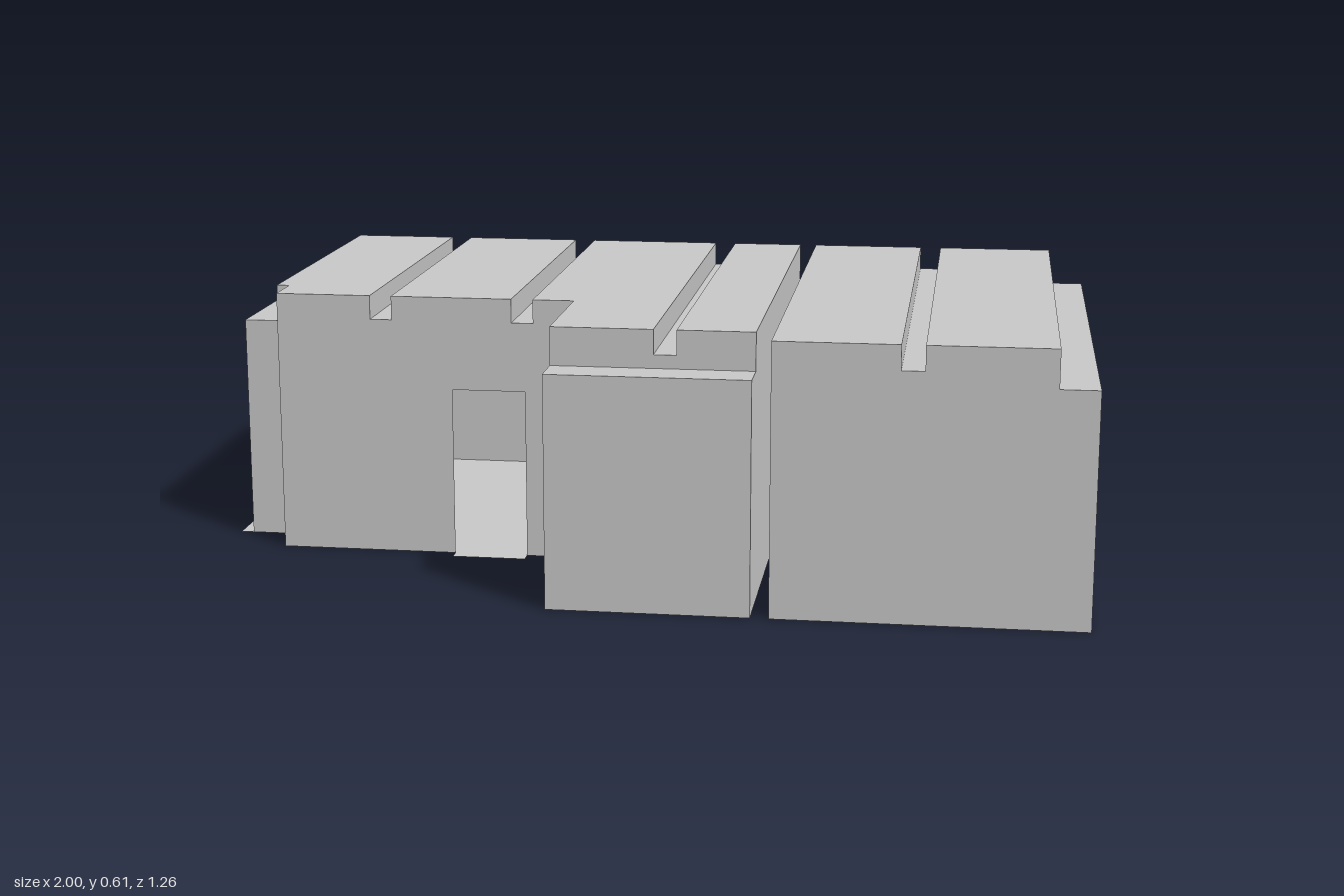
import * as THREE from 'three';

const H = 0.605, LOW = 0.52, GROOVE = 0.55, DOOR = 0.39, BACK = -0.63, FRONT = 0.63;

export function createModel() {
  const model = new THREE.Group();
  const material = new THREE.MeshStandardMaterial({ color: 0xcccccc, side: THREE.DoubleSide, flatShading: true });

  // Thin sheet from an outline, turned into the plane it belongs to
  function sheet(parent, name, points, turn) {
    const shape = new THREE.Shape(points.map(([u, v]) => new THREE.Vector2(u, v)));
    const geometry = new THREE.ShapeGeometry(shape);
    turn(geometry);
    const mesh = new THREE.Mesh(geometry, material);
    mesh.name = name;
    parent.add(mesh);
  }
  const facingZ = (z) => (g) => g.translate(0, 0, z); // outline in x, y
  const facingX = (x) => (g) => g.rotateY(-Math.PI / 2).translate(x, 0, 0); // outline in z, y
  const level = (y) => (g) => g.rotateX(Math.PI / 2).translate(0, y, 0); // outline in x, z
  const rect = (u0, u1, v0, v1) => [[u0, v0], [u1, v0], [u1, v1], [u0, v1]];

  // Bottom edge of a wall, with an optional doorway cut up into it
  const base = (u0, u1, y, door) => [
    [u0, y],
    ...(door ? [[door[0], y], [door[0], DOOR], [door[1], DOOR], [door[1], y]] : []),
    [u1, y],
  ];

  // Roof strips as [x start, x end, height]; cut to the asked range
  const clip = (strips, x0, x1) => strips
    .map(([a, b, y]) => [Math.max(a, x0), Math.min(b, x1), y])
    .filter(([a, b]) => b - a > 1e-4);

  // Wall across x whose top follows the roof
  function longWall(parent, name, strips, x0, x1, z, y = 0, door = null) {
    const top = clip(strips, x0, x1).reverse().flatMap(([a, b, h]) => [[b, h], [a, h]]);
    sheet(parent, name, [...base(x0, x1, y, door), ...top], facingZ(z));
  }

  // Wall along z with a list of top corners from front to back
  function endWall(parent, name, x, z0, z1, top, door = null) {
    sheet(parent, name, [...base(z0, z1, 0, door), ...top], facingX(x));
  }

  // Flat strips and the small risers between them
  function roof(parent, strips, x0, x1, z1) {
    const parts = clip(strips, x0, x1);
    parts.forEach(([a, b, y], i) => {
      sheet(parent, 'roofStrip', rect(a, b, BACK, z1), level(y));
      const next = parts[i + 1];
      if (next) sheet(parent, 'roofRiser', rect(BACK, z1, y, next[2]), facingX(b));
    });
  }

  // Main hall, with a stepped plan
  const main = new THREE.Group();
  main.name = 'mainHall';
  model.add(main);
  const mainStrips = [
    [-0.97, -0.89, LOW], [-0.89, -0.64, H], [-0.64, -0.59, GROOVE], [-0.59, -0.31, H],
    [-0.31, -0.26, GROOVE], [-0.26, 0.06, H], [0.06, 0.11, GROOVE], [0.11, 0.28, H],
  ];
  roof(main, mainStrips, -0.97, -0.86, 0.13);
  roof(main, mainStrips, -0.86, -0.165, 0.235);
  roof(main, mainStrips, -0.165, 0.28, 0.54);
  longWall(main, 'backWall', mainStrips, -0.97, 0.28, BACK);
  longWall(main, 'cornerWall', mainStrips, -0.97, -0.86, 0.13);
  longWall(main, 'frontWall', mainStrips, -0.86, -0.165, 0.235, 0, [-0.45, -0.28]);
  longWall(main, 'upperFrontWall', mainStrips, -0.165, 0.28, 0.54, LOW);
  sheet(main, 'lowFrontWall', rect(-0.165, 0.28, 0, LOW), facingZ(FRONT));
  sheet(main, 'frontLedge', rect(-0.165, 0.28, 0.54, FRONT), level(LOW));
  endWall(main, 'entranceWall', -0.97, BACK, 0.13, [[0.13, DOOR], [0.13, LOW], [BACK, LOW]], [-0.225, 0.129]);
  endWall(main, 'cornerReturn', -0.86, 0.13, 0.235, [[0.235, H], [0.13, H]]);
  const steppedTop = (back) => [[FRONT, LOW], [0.54, LOW], [0.54, H], [back, H]];
  endWall(main, 'frontReturn', -0.165, 0.235, FRONT, steppedTop(0.235));
  endWall(main, 'passageWall', 0.28, BACK, FRONT, steppedTop(BACK), [-0.36, 0]);
  sheet(main, 'floor', [
    [-0.97, BACK], [0.28, BACK], [0.28, FRONT], [-0.165, FRONT],
    [-0.165, 0.235], [-0.86, 0.235], [-0.86, 0.13], [-0.97, 0.13],
  ], level(0));

  // Side hall
  const side = new THREE.Group();
  side.name = 'sideHall';
  model.add(side);
  const sideStrips = [[0.32, 0.59, H], [0.59, 0.64, GROOVE], [0.64, 0.915, H], [0.915, 1, LOW]];
  roof(side, sideStrips, 0.32, 1, FRONT);
  longWall(side, 'backWall', sideStrips, 0.32, 1, BACK);
  longWall(side, 'frontWall', sideStrips, 0.32, 1, FRONT);
  endWall(side, 'passageWall', 0.32, BACK, FRONT, [[FRONT, H], [BACK, H]], [-0.5, -0.33]);
  endWall(side, 'outerWall', 1, BACK, FRONT, [[FRONT, LOW], [BACK, LOW]]);
  sheet(side, 'floor', rect(0.32, 1, BACK, FRONT), level(0));

  // Thin doorsteps outside each doorway
  sheet(model, 'entranceStep', rect(-1, -0.97, -0.225, 0.13), level(0));
  sheet(model, 'frontStep', rect(-0.45, -0.28, 0.235, 0.265), level(0));
  sheet(model, 'passageStep', rect(0.28, 0.315, -0.36, 0), level(0));
  sheet(model, 'sideHallStep', rect(0.315, 0.32, -0.5, -0.33), level(0));

  return model;
}
